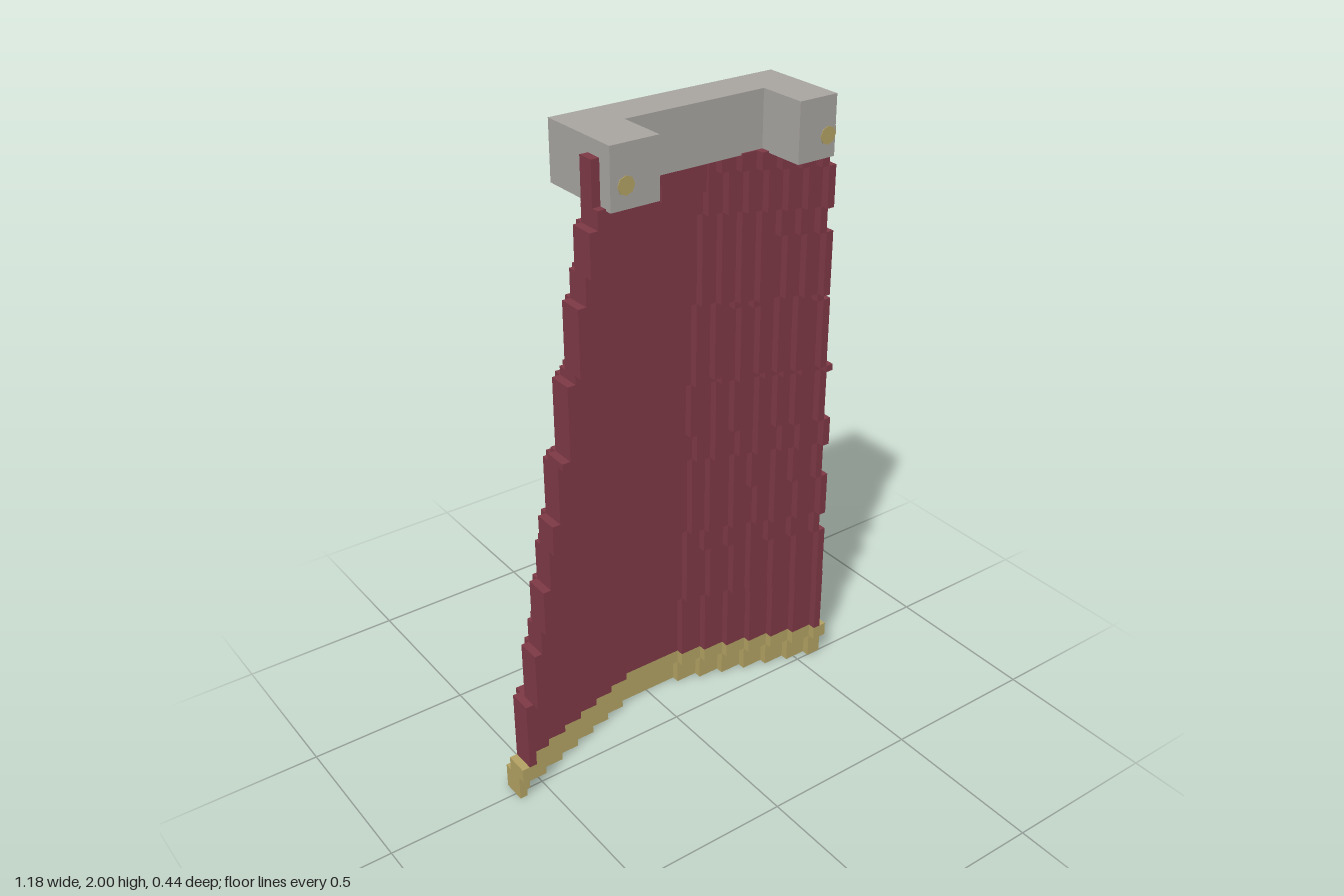
import * as THREE from 'three';
import { mergeGeometries } from 'three/addons/utils/BufferGeometryUtils.js';

const V = 0.0241; // voxel size

// Box from minimum and maximum corners
function box(x0, x1, y0, y1, z0, z1) {
  const g = new THREE.BoxGeometry(x1 - x0, y1 - y0, z1 - z0);
  g.translate((x0 + x1) / 2, (y0 + y1) / 2, (z0 + z1) / 2);
  return g;
}

export function createModel() {
  const red = new THREE.MeshStandardMaterial({ name: 'wine red cloth', color: 0x7e3945 });
  const gold = new THREE.MeshStandardMaterial({ name: 'gold trim', color: 0xb3a263 });
  const grey = new THREE.MeshStandardMaterial({ name: 'grey metal', color: 0xa8a5a1 });
  const group = new THREE.Group();
  const add = (name, parts, material) => {
    const mesh = new THREE.Mesh(mergeGeometries(parts), material);
    mesh.name = name;
    group.add(mesh);
  };

  // Cape: horizontal bands narrow upwards and lean forward one voxel at a time
  const narrow = [0.125, 0.345, 0.53, 0.75, 0.965, 1.16, 1.375, 1.59, 1.79];
  const lean = [0.08, 0.345, 0.61, 0.875, 1.14, 1.4, 1.67];
  const cuts = [...new Set([0, ...narrow, ...lean, 1.84])].sort((a, b) => a - b);
  const cloth = [], hem = [];
  for (let i = 0; i < cuts.length - 1; i++) {
    const y0 = cuts[i], y1 = cuts[i + 1];
    const half = 24 - narrow.filter(y => y <= y0).length;
    const back = -0.215 + V * lean.filter(y => y <= y0).length;
    const level = c => Math.max(0, Math.floor((Math.abs(c) / half * 24 - 2) / 3 + 1e-6));
    const target = y0 < 0.12 ? hem : cloth;
    // Merge neighbouring columns of equal depth into one strip
    for (let c = -half; c <= half;) {
      let end = c;
      while (end < half && level(end + 1) === level(c)) end++;
      const z = back + level(c) * V;
      target.push(box((c - 0.5) * V, (end + 0.5) * V, y0, y1, z, z + 2 * V));
      c = end + 1;
    }
    // Thicker front edge on the right border
    const z = back + 7 * V;
    target.push(box(-(half + 0.5) * V, -(half - 0.5) * V, y0, y1, z + 2 * V, z + 3 * V));
  }
  // Border strips that rise beside the clasp
  for (const s of [-1, 1]) {
    const g = box(-V / 2, V / 2, 1.84, 1.96, 0.124, 0.172);
    cloth.push(g.translate(s * 0.362, 0, 0));
  }
  add('cape', cloth, red);
  add('hem', hem, gold);

  // Stepped round bundle on the upper back
  const ball = [];
  const cy = 1.798, cz = -0.1, cx = 0.01;
  for (let j = -5; j <= 5; j++) {
    for (let k = -5; k <= 4; k++) {
      const dy = j * V, dz = (k + 0.5) * V;
      const r = 1 - (dy / 0.136) ** 2 - (dz / 0.125) ** 2;
      if (r <= 0) continue;
      const w = Math.max(1, Math.round(0.18 * Math.sqrt(r) / V)) * V;
      ball.push(box(cx - w, cx + w, cy + dy - V / 2, cy + dy + V / 2, cz + dz - V / 2, cz + dz + V / 2));
    }
  }
  add('backBundle', ball, red);

  // U-shaped collar clasp
  const u = new THREE.Shape([
    [-0.35, 0.05], [0.347, 0.05], [0.347, -0.215], [0.226, -0.215],
    [0.226, -0.07], [-0.207, -0.07], [-0.207, -0.215], [-0.35, -0.215],
  ].map(p => new THREE.Vector2(...p)));
  const clasp = new THREE.ExtrudeGeometry(u, { depth: 0.165, bevelEnabled: false });
  clasp.rotateX(-Math.PI / 2).translate(0, 1.835, 0);
  add('collarClasp', [clasp], grey);

  // Small gold studs on the clasp ends
  const studs = [-0.305, 0.322].map(x =>
    new THREE.CylinderGeometry(0.025, 0.025, 0.004, 8).rotateX(Math.PI / 2).translate(x, 1.895, 0.215));
  studs.push(new THREE.CylinderGeometry(0.022, 0.022, 0.004, 8).rotateZ(Math.PI / 2).translate(0.348, 1.895, 0.191));
  studs.push(box(0.346, 0.37, 1.884, 1.906, 0.172, 0.192));
  add('claspStuds', studs, gold);

  return group;
}
